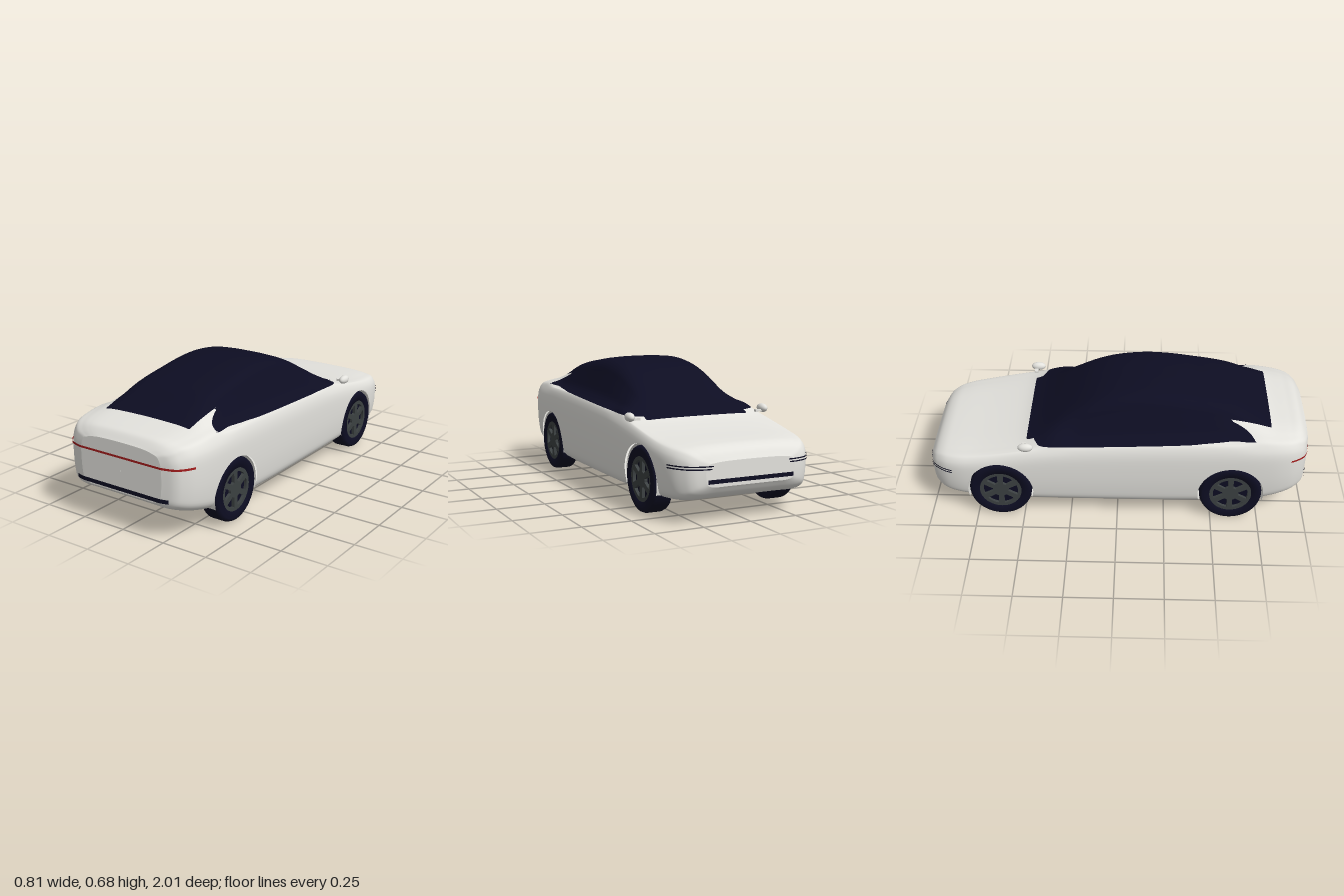
import * as THREE from 'three';

const mat = (name, color) => {
  const m = new THREE.MeshStandardMaterial({ color, side: THREE.DoubleSide });
  m.name = name;
  return m;
};

// Smooth curve through [z, value] pairs
function interp(table, z) {
  const n = table.length - 1;
  if (z <= table[0][0]) return table[0][1];
  if (z >= table[n][0]) return table[n][1];
  let i = 0;
  while (z > table[i + 1][0]) i++;
  const slope = k => {
    const a = table[Math.max(k - 1, 0)], b = table[Math.min(k + 1, n)];
    return (b[1] - a[1]) / (b[0] - a[0]);
  };
  const [x0, y0] = table[i], [x1, y1] = table[i + 1], d = x1 - x0, t = (z - x0) / d;
  const t2 = t * t, t3 = t2 * t;
  return (2 * t3 - 3 * t2 + 1) * y0 + (t3 - 2 * t2 + t) * d * slope(i)
    + (3 * t2 - 2 * t3) * y1 + (t3 - t2) * d * slope(i + 1);
}

// Body lines along z: half width, underside, shoulder and centre top
const WIDTH = [[-1, .24], [-.985, .29], [-.96, .325], [-.9, .365], [-.8, .39], [-.6, .4], [0, .403],
  [.6, .403], [.8, .396], [.9, .376], [.96, .34], [.985, .305], [1, .25]];
const BOTTOM = [[-1, .18], [-.97, .14], [-.925, .115], [-.8, .1], [-.5, .083], [0, .077], [.45, .083],
  [.75, .107], [.89, .14], [.97, .17], [1, .195]];
const SHOULDER = [[-1, .285], [-.96, .32], [-.9, .34], [-.75, .365], [-.5, .41], [-.3, .44], [0, .46],
  [.5, .475], [.8, .468], [.93, .455], [1, .42]];
const TOP = [[-1, .3], [-.97, .34], [-.93, .362], [-.88, .371], [-.7, .39], [-.55, .412], [-.48, .43],
  [-.4, .468], [-.28, .545], [-.15, .618], [-.05, .656], [.05, .676], [.16, .684], [.28, .676], [.41, .656],
  [.5, .641], [.6, .615], [.7, .568], [.8, .525], [.9, .506], [.96, .495], [1, .455]];
// Upper edge of the side windows
const WINDOW_TOP = [[-.46, .437], [-.3, .505], [-.15, .6], [-.05, .7], [.3, .645], [.36, .625],
  [.46, .603], [.57, .565], [.67, .52], [.72, .488]];
const LOWER = [[.5, 0], [.84, .012], [.95, .1], [.985, .27], [1, .65], [.985, .88], [.94, 1]];
const CABIN = [[.9, .03, .35], [.8, .16, .58], [.725, .39, .72], [.66, .61, .8], [.6, .8, .86],
  [.5, .93, .92], [.25, .99, .98]];

// Closed cross-section at z, from the underside up the +x side and back
function ring(z, k = 1) {
  const w = interp(WIDTH, z), b = interp(BOTTOM, z), s = interp(SHOULDER, z), h = interp(TOP, z) - s;
  const c = THREE.MathUtils.smoothstep(h, .04, .15);
  const side = LOWER.map(([x, f]) => [x * w, b + f * (s - b)])
    .concat(CABIN.map(([x, f, g]) => [x * w, s + h * (g + (f - g) * c)]));
  const all = [[0, b], ...side, [0, s + h], ...side.map(([x, y]) => [-x, y]).reverse()];
  const mid = (b + s) / 2;
  const curve = new THREE.CatmullRomCurve3(
    all.map(([x, y]) => new THREE.Vector3(x * k, mid + (y - mid) * k, z)), true);
  return curve.getPoints(all.length * 4).slice(0, -1);
}

// Half width of the body at z and height y
function halfWidth(z, y) {
  const p = ring(z);
  let best = 0;
  for (let i = 0; i < p.length / 2; i++) {
    const a = p[i], b = p[i + 1];
    if ((a.y - y) * (b.y - y) <= 0 && a.y !== b.y)
      best = Math.max(best, a.x + (b.x - a.x) * (y - a.y) / (b.y - a.y));
  }
  return best;
}

// Part of a polygon where sign * f >= 0; vertices are [x, y, z, nx, ny, nz]
function clip(poly, f, sign) {
  const out = [];
  poly.forEach((a, i) => {
    const b = poly[(i + 1) % poly.length], fa = f(a) * sign, fb = f(b) * sign;
    if (fa >= 0) out.push(a);
    if (fa * fb < 0) out.push(a.map((v, k) => v + (b[k] - v) * fa / (fa - fb)));
  });
  return out;
}

const WHEEL_Z = [.6, -.62], WHEEL_Y = .165, ARCH = .174;
const archField = ([x, y, z]) => Math.max(...WHEEL_Z.map(c =>
  Math.min(ARCH - Math.hypot(y - WHEEL_Y, z - c), Math.abs(x) - .26)));
const glassField = ([x, y, z]) => {
  const ax = Math.abs(x);
  const roof = Math.min(.279 - .022 * z - ax, .8 - z, z + .48, y - .41);
  const side = Math.min(y - .459 - .0437 * z, interp(WINDOW_TOP, z) - y, ax - .2, .72 - z, z + .46);
  return Math.max(roof, side);
};

// Lofted shell, cut by the wheel arches and divided into paint and glass
function buildShell() {
  const N = 150, rings = [];
  for (const k of [.01, .5, .95]) rings.push(ring(-1, k));
  for (let i = 0; i <= N; i++) rings.push(ring(Math.sin((i / N - .5) * Math.PI)));
  for (const k of [.95, .5, .01]) rings.push(ring(1, k));
  const M = rings[0].length, idx = [];
  for (let i = 0; i < rings.length - 1; i++) for (let j = 0; j < M; j++) {
    const a = i * M + j, b = i * M + (j + 1) % M;
    idx.push(a, b, b + M, a, b + M, a + M);
  }
  const g = new THREE.BufferGeometry().setFromPoints(rings.flat());
  g.setIndex(idx);
  g.computeVertexNormals();
  const P = g.attributes.position, Q = g.attributes.normal;
  const vert = i => [P.getX(i), P.getY(i), P.getZ(i), Q.getX(i), Q.getY(i), Q.getZ(i)];
  const paint = [], glass = [];
  const fan = (poly, out) => {
    for (let i = 1; i < poly.length - 1; i++) out.push(poly[0], poly[i], poly[i + 1]);
  };
  for (let i = 0; i < idx.length; i += 3) {
    const kept = clip([vert(idx[i]), vert(idx[i + 1]), vert(idx[i + 2])], archField, -1);
    fan(clip(kept, glassField, -1), paint);
    fan(clip(kept, glassField, 1), glass);
  }
  return [paint, glass].map(list => {
    const out = new THREE.BufferGeometry();
    out.setAttribute('position', new THREE.Float32BufferAttribute(list.flatMap(v => v.slice(0, 3)), 3));
    out.setAttribute('normal', new THREE.Float32BufferAttribute(list.flatMap(v => v.slice(3)), 3));
    return out;
  });
}

// Thin band hugging one end of the car, on the +x half
function band(end, y0, y1, zStart, xMin, xMax) {
  const y = (y0 + y1) / 2, path = [];
  for (let i = 0; i <= 30; i++) {
    const z = end * (zStart + (1 - zStart) * Math.sin(i / 30 * Math.PI / 2));
    path.push([halfWidth(z, y), z]);
  }
  const edge = path[30][0];
  for (let i = 1; i <= 30; i++) path.push([edge * (1 - i / 30), end]);
  const pts = path.filter(([x]) => x >= xMin && x <= xMax)
    .flatMap(([x, z]) => [y0, y1].map(h => new THREE.Vector3(x ? x + .003 : 0, h, z + end * .004)));
  const idx = [];
  for (let i = 0; i < pts.length - 2; i += 2) {
    if (end > 0) idx.push(i, i + 1, i + 2, i + 1, i + 3, i + 2);
    else idx.push(i, i + 2, i + 1, i + 1, i + 2, i + 3);
  }
  const g = new THREE.BufferGeometry().setFromPoints(pts);
  g.setIndex(end > 0 ? idx.reverse() : idx.reverse());
  g.computeVertexNormals();
  return g;
}

export function createModel() {
  const car = new THREE.Group();
  car.name = 'car';
  const white = mat('white paint', 0xe3e2dd), black = mat('dark glass and rubber', 0x0d0d22);
  const red = mat('red light', 0xa51c1c), grey = mat('wheel grey', 0x3c4142);
  const add = (parent, name, geo, material) => {
    const m = new THREE.Mesh(geo, material);
    m.name = name;
    parent.add(m);
    return m;
  };

  const [paint, glass] = buildShell();
  add(car, 'body', paint, white);
  add(car, 'windows', glass, black);

  // Lights and slots, mirrored on both sides
  const bands = [
    ['tailLight', red, band(1, .374, .385, .9, 0, 1)],
    ['rearSlot', black, band(1, .204, .225, .9, 0, .287)],
    ['frontSlot', black, band(-1, .197, .217, .9, 0, .23)],
    ['headlightUpper', black, band(-1, .277, .283, .87, .2, 1)],
    ['headlightLower', black, band(-1, .264, .27, .87, .2, 1)],
  ];
  for (const [name, m, g] of bands) for (const s of [1, -1]) add(car, name, g, m).scale.x = s;

  // Wheel parts, with the outer face towards +x
  const profile = [[.1, -.05], [.148, -.0525], [.16, -.047], [.165, -.035], [.165, .035], [.16, .047],
    [.148, .0525], [.112, .05], [.108, .03]].map(([r, y]) => new THREE.Vector2(r, y));
  const tyre = new THREE.LatheGeometry(profile, 48).rotateZ(-Math.PI / 2);
  const backing = new THREE.CylinderGeometry(.11, .11, .06, 40).rotateZ(-Math.PI / 2);
  const face = new THREE.Shape().absarc(0, 0, .111, 0, Math.PI * 2);
  for (let i = 0; i < 6; i++) {
    const a = i * Math.PI / 3, hole = new THREE.Path();
    hole.absarc(0, 0, .092, a - .36, a + .36, false);
    hole.absarc(0, 0, .042, a + .2, a - .2, true);
    hole.closePath();
    face.holes.push(hole);
  }
  const rim = new THREE.ExtrudeGeometry(face, { depth: .016, bevelEnabled: false, curveSegments: 32 })
    .rotateY(Math.PI / 2).translate(.031, 0, 0);
  const liner = new THREE.CylinderGeometry(ARCH, ARCH, .13, 40, 1, true, -.28, Math.PI + .56)
    .rotateZ(Math.PI / 2).translate(-.018, 0, 0);
  const wallShape = new THREE.Shape().absarc(0, 0, ARCH, -.42, Math.PI + .42);
  const wall = new THREE.ShapeGeometry(wallShape, 32).rotateY(Math.PI / 2).translate(-.083, 0, 0);
  for (const z of WHEEL_Z) for (const s of [1, -1]) {
    const wheel = new THREE.Group();
    wheel.name = z > 0 ? 'rearWheel' : 'frontWheel';
    wheel.position.set(s * .343, WHEEL_Y, z);
    if (s < 0) wheel.rotation.y = Math.PI;
    add(wheel, 'tyre', tyre, black);
    add(wheel, 'rimBacking', backing, black);
    add(wheel, 'rim', rim, grey);
    add(wheel, 'archLiner', liner, white);
    add(wheel, 'archWall', wall, white);
    car.add(wheel);
  }

  // Door mirrors
  const pod = new THREE.SphereGeometry(1, 24, 16);
  for (const s of [1, -1]) {
    const mirror = add(car, 'mirror', pod, white);
    mirror.scale.set(.022, .023, .04);
    mirror.position.set(s * .382, .447, -.475);
    add(car, 'mirrorStem', new THREE.BoxGeometry(.05, .012, .02), white).position.set(s * .358, .436, -.485);
  }
  return car;
}
